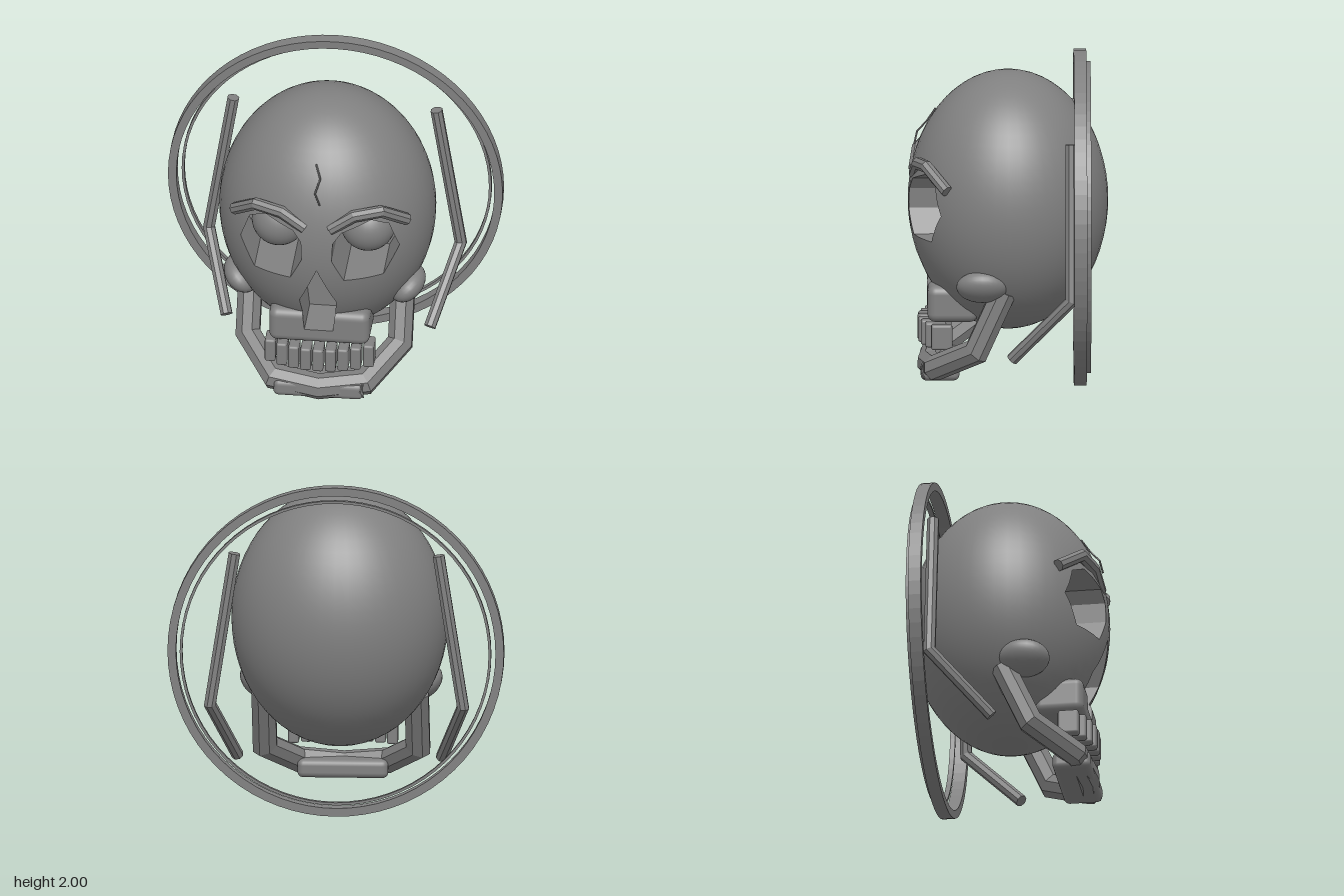
import * as THREE from 'three';
import { RoundedBoxGeometry } from 'three/addons/geometries/RoundedBoxGeometry.js';

const bone = new THREE.MeshStandardMaterial({ color: 0x808080 });

// skull ellipsoid
const SKULL = { y: 1.113, rx: 0.645, ry: 0.777, rz: 0.595 };
const skullZ = (x, y) =>
  SKULL.rz * Math.sqrt(Math.max(0, 1 - (x / SKULL.rx) ** 2 - ((y - SKULL.y) / SKULL.ry) ** 2));

// convex outlines of the face openings, counter-clockwise from the front
const socketOutline = [[0.475, 1.11], [0.415, 1.28], [0.315, 1.33], [0.145, 1.27],
  [0.095, 1.2], [0.09, 1.08], [0.16, 0.935], [0.385, 0.935]];
const mirrorOutline = (o) => o.map(([x, y]) => [-x, y]).reverse();
const noseOutline = [[0, 1.01], [-0.11, 0.75], [-0.085, 0.52], [0.085, 0.52], [0.11, 0.75]];

function buildGeometry(positions, normals) {
  const g = new THREE.BufferGeometry();
  g.setAttribute('position', new THREE.Float32BufferAttribute(positions, 3));
  if (normals) g.setAttribute('normal', new THREE.Float32BufferAttribute(normals, 3));
  else g.computeVertexNormals();
  return g;
}

// split a convex piece by the line a-b into its inside (left) and outside parts
function split(piece, a, b) {
  const inside = [], outside = [];
  const side = (v) => (b[0] - a[0]) * (v[1] - a[1]) - (b[1] - a[1]) * (v[0] - a[0]);
  piece.forEach((v, i) => {
    const w = piece[(i + 1) % piece.length], s = side(v), t = side(w);
    if (s >= 0) inside.push(v);
    if (s <= 0) outside.push(v);
    if (s * t < 0) {
      const m = v.map((c, k) => c + (w[k] - c) * (s / (s - t)));
      inside.push(m);
      outside.push(m);
    }
  });
  return [inside, outside];
}

// cut front-facing openings out of a surface
function cutOpenings(geometry, outlines) {
  const g = geometry.index ? geometry.toNonIndexed() : geometry;
  const P = g.attributes.position, N = g.attributes.normal;
  const positions = [], normals = [];
  for (let i = 0; i < P.count; i += 3) {
    const tri = [i, i + 1, i + 2].map((k) =>
      [P.getX(k), P.getY(k), P.getZ(k), N.getX(k), N.getY(k), N.getZ(k)]);
    let pieces = [tri];
    if (tri[0][2] + tri[1][2] + tri[2][2] > 0) {
      for (const o of outlines) {
        pieces = pieces.flatMap((piece) => {
          let rest = piece;
          const kept = [];
          for (let e = 0; e < o.length && rest.length > 2; e++) {
            const [inside, outside] = split(rest, o[e], o[(e + 1) % o.length]);
            if (outside.length > 2) kept.push(outside);
            rest = inside;
          }
          return rest.length > 2 ? kept : [piece];
        });
      }
    }
    for (const p of pieces) {
      for (let k = 1; k < p.length - 1; k++) {
        for (const v of [p[0], p[k], p[k + 1]]) {
          positions.push(v[0], v[1], v[2]);
          normals.push(...new THREE.Vector3(v[3], v[4], v[5]).normalize().toArray());
        }
      }
    }
  }
  return buildGeometry(positions, normals);
}

// inward-facing walls of an opening, from the surface back to zBack
function wallGeometry(outline, zBack, surfaceZ) {
  const positions = [], steps = 10;
  outline.forEach((a, i) => {
    const b = outline[(i + 1) % outline.length];
    const at = (t) => [a[0] + (b[0] - a[0]) * t, a[1] + (b[1] - a[1]) * t];
    for (let s = 0; s < steps; s++) {
      const p = at(s / steps), q = at((s + 1) / steps);
      const pf = [...p, surfaceZ(...p)], qf = [...q, surfaceZ(...q)];
      positions.push(...pf, ...qf, ...q, zBack, ...pf, ...q, zBack, ...p, zBack);
    }
  });
  return buildGeometry(positions);
}

// faceted rod with mitred bends and flat ends
function rodGeometry(points, radius, sides = 8) {
  const pts = points.map((p) => new THREE.Vector3(...p));
  const dirs = pts.slice(1).map((p, i) => p.clone().sub(pts[i]).normalize());
  const u = new THREE.Vector3(0, 0, 1);
  if (Math.abs(dirs[0].z) > 0.9) u.set(0, 1, 0);
  u.addScaledVector(dirs[0], -u.dot(dirs[0])).normalize();
  const v = dirs[0].clone().cross(u);
  const rings = [Array.from({ length: sides }, (_, i) => {
    const a = ((i + 0.5) / sides) * Math.PI * 2;
    return pts[0].clone().addScaledVector(u, radius * Math.cos(a)).addScaledVector(v, radius * Math.sin(a));
  })];
  dirs.forEach((d, i) => {
    const n = d.clone().add(dirs[i + 1] || d).normalize();
    rings.push(rings[i].map((p) =>
      p.clone().addScaledVector(d, pts[i + 1].clone().sub(p).dot(n) / d.dot(n))));
  });
  const positions = [];
  const tri = (...t) => t.forEach((p) => positions.push(p.x, p.y, p.z));
  for (let j = 0; j < sides; j++) {
    const k = (j + 1) % sides;
    for (let i = 0; i < dirs.length; i++) {
      const A = rings[i], B = rings[i + 1];
      tri(A[j], A[k], B[k]);
      tri(A[j], B[k], B[j]);
    }
    tri(pts[0], rings[0][k], rings[0][j]);
    tri(pts.at(-1), rings.at(-1)[j], rings.at(-1)[k]);
  }
  return buildGeometry(positions);
}

// square-edged hoop standing in the xy plane
function hoopGeometry(inner, outer, z0, z1) {
  const corners = [[inner, z0], [outer, z0], [outer, z1], [inner, z1]];
  const positions = [], n = 72;
  const at = ([r, z], i) => [r * Math.cos(i * 2 * Math.PI / n), 1 + r * Math.sin(i * 2 * Math.PI / n), z];
  for (let i = 0; i < n; i++) {
    corners.forEach((c, k) => {
      const d = corners[(k + 1) % 4];
      const a = at(c, i), b = at(d, i), e = at(d, i + 1), f = at(c, i + 1);
      positions.push(...a, ...e, ...b, ...a, ...f, ...e);
    });
  }
  return buildGeometry(positions);
}

export function createModel() {
  const model = new THREE.Group();
  const add = (name, geometry, x = 0, y = 0, z = 0) => {
    const mesh = new THREE.Mesh(geometry, bone);
    mesh.name = name;
    mesh.position.set(x, y, z);
    model.add(mesh);
    return mesh;
  };

  // cranium with eye and nose openings
  const sphere = new THREE.SphereGeometry(1, 48, 32).scale(SKULL.rx, SKULL.ry, SKULL.rz).translate(0, SKULL.y, 0);
  add('cranium', cutOpenings(sphere, [socketOutline, mirrorOutline(socketOutline), noseOutline]));

  // upper jaw, notched by the nose opening
  const jawBox = new RoundedBoxGeometry(0.6, 0.22, 0.3, 4, 0.05).translate(0, 0.53, 0.33);
  add('upperJaw', cutOpenings(jawBox, [noseOutline]));
  const noseZ = (x, y) => {
    const box = y < 0.64 ? 0.43 + Math.sqrt(0.05 ** 2 - Math.max(0, y - 0.59) ** 2) : 0;
    return Math.max(skullZ(x, y), box);
  };

  const addCavity = (name, outline, zBack, surfaceZ) => {
    add(name + 'Walls', wallGeometry(outline, zBack, surfaceZ));
    const shape = new THREE.Shape(outline.map((p) => new THREE.Vector2(...p)));
    add(name + 'Back', new THREE.ShapeGeometry(shape), 0, 0, zBack);
  };
  addCavity('noseCavity', noseOutline, 0.2, noseZ);

  // paired parts
  for (const [side, s] of [['left', 1], ['right', -1]]) {
    const flip = (pts) => pts.map(([x, y, z]) => [s * x, y, z]);
    addCavity(side + 'EyeSocket', s > 0 ? socketOutline : mirrorOutline(socketOutline), 0.13, skullZ);
    add(side + 'Eyeball', new THREE.SphereGeometry(0.165, 32, 20), s * 0.265, 1.125, 0.21);
    add(side + 'Brow', rodGeometry(flip([[0.075, 1.285, 0.555], [0.215, 1.375, 0.535],
      [0.375, 1.39, 0.485], [0.515, 1.27, 0.365]]), 0.037));
    const cheek = add(side + 'Cheekbone', new THREE.SphereGeometry(1, 28, 18), s * 0.495, 0.685, 0.155);
    cheek.scale.set(0.12, 0.085, 0.155);
    cheek.rotation.z = s * 0.7;
    add(side + 'Strap', rodGeometry(flip([[0.607, 1.575, -0.372], [0.752, 0.655, -0.372],
      [0.607, 0.27, -0.02]]), 0.037));
  }

  // teeth along a shallow arc
  for (let i = -4; i <= 4; i++) {
    add('tooth', new RoundedBoxGeometry(0.064, 0.15, 0.125, 2, 0.014), i * 0.0735, 0.337, 0.475 - 0.005 * i * i);
  }

  // lower jaw and chin
  const halfJaw = [[0.455, 0.65, 0.025], [0.455, 0.285, 0.19], [0.27, 0.145, 0.43]];
  add('lowerJaw', rodGeometry([...halfJaw, [0, 0.115, 0.465],
    ...halfJaw.map(([x, y, z]) => [-x, y, z]).reverse()], 0.077));
  add('chin', new RoundedBoxGeometry(0.54, 0.11, 0.23, 3, 0.035), 0, 0.115, 0.405);

  // hairline cracks
  add('foreheadCrack', rodGeometry([[-0.02, 1.66, 0.43], [0.01, 1.59, 0.482],
    [-0.015, 1.52, 0.54], [0.015, 1.45, 0.557]], 0.006, 6));
  add('jawCrack', rodGeometry([[0.265, 0.17, 0.5], [0.25, 0.12, 0.515], [0.27, 0.08, 0.5]], 0.006, 6));

  // hoops behind the head
  add('outerHoop', hoopGeometry(0.95, 1, -0.465, -0.39));
  add('innerHoop', hoopGeometry(0.91, 0.926, -0.49, -0.46));
  return model;
}
